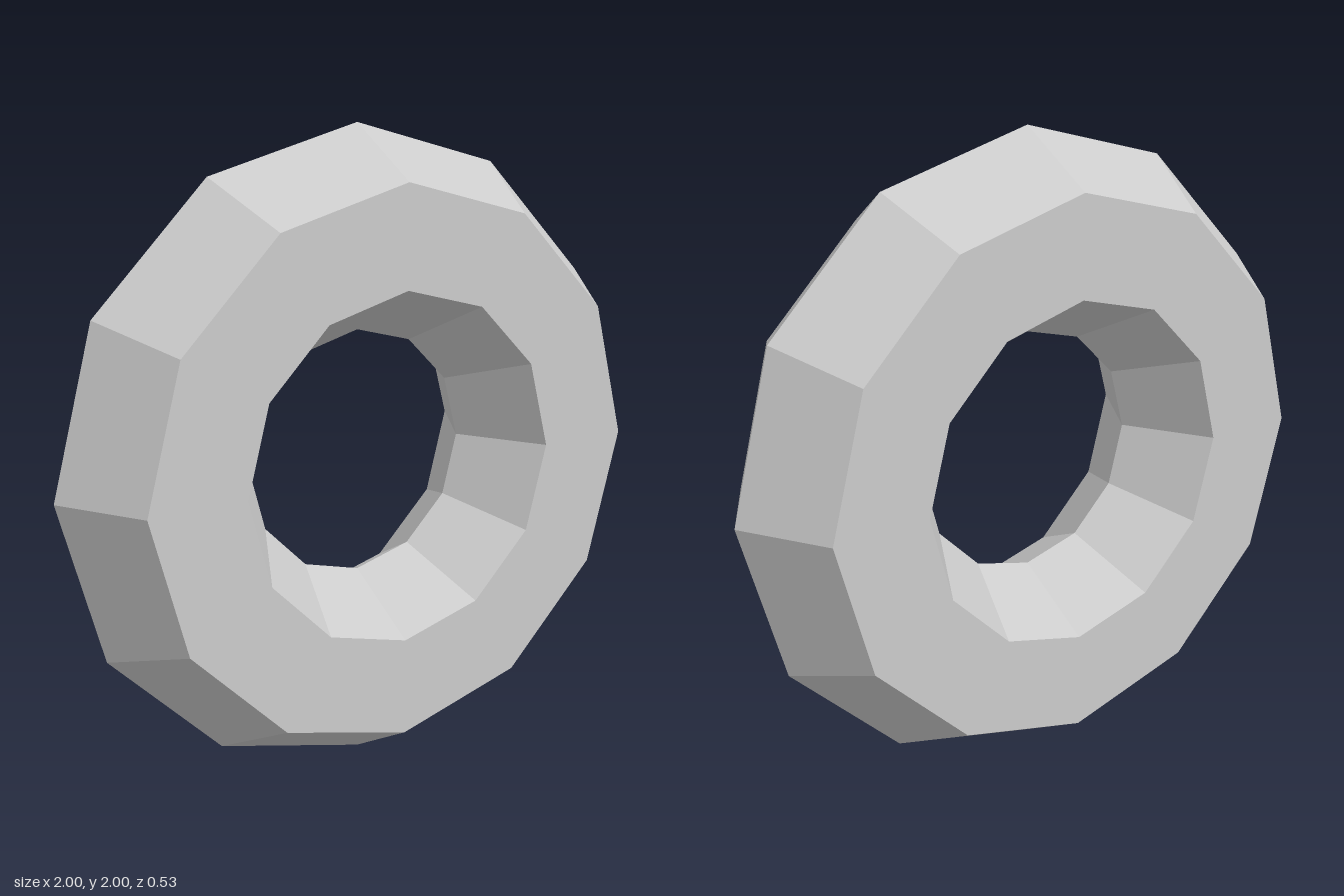
import * as THREE from 'three';

export function createModel() {
  const group = new THREE.Group();
  group.name = 'ringModel';

  // Faceted ring: hexagonal section swept round twelve sides, standing upright
  const ringRadius = 9 / 13;
  const tubeRadius = 4 / 13;
  const ring = new THREE.Mesh(
    new THREE.TorusGeometry(ringRadius, tubeRadius, 6, 12),
    new THREE.MeshStandardMaterial({ color: 0xcccccc, flatShading: true })
  );
  ring.name = 'ring';
  ring.position.y = ringRadius + tubeRadius;
  group.add(ring);

  return group;
}
